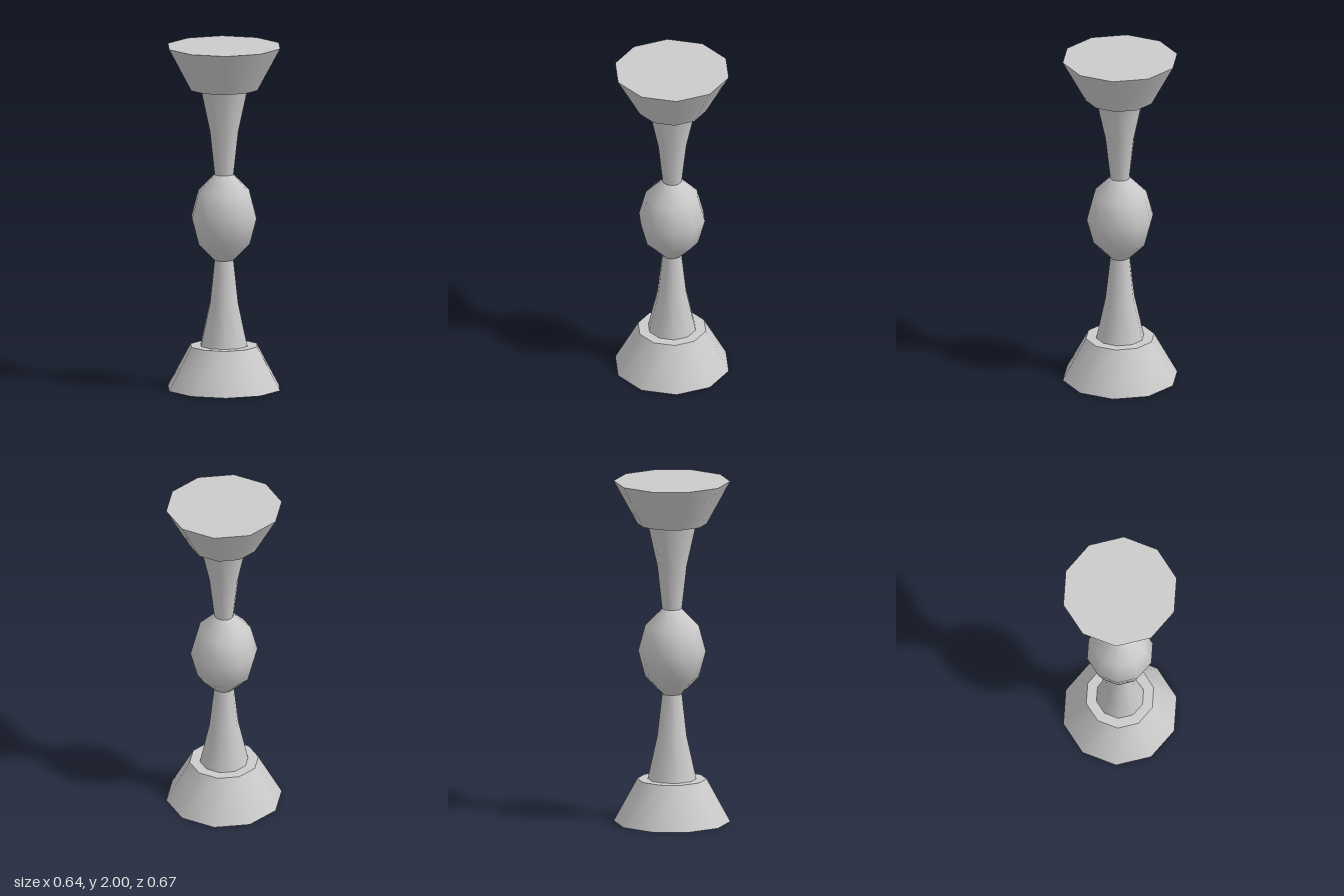
import * as THREE from 'three';

const SIDES = 10;
const HEIGHT = 2;

export function createModel() {
  const model = new THREE.Group();
  model.name = 'turnedPedestal';
  const material = new THREE.MeshStandardMaterial({ color: 0xcccccc });

  function add(name, geometry, y = 0) {
    const mesh = new THREE.Mesh(geometry, material);
    mesh.name = name;
    mesh.position.y = y;
    model.add(mesh);
  }

  // Profiles are [radius, height], listed from bottom to top
  const lathe = (profile) =>
    new THREE.LatheGeometry(profile.map(([r, y]) => new THREE.Vector2(r, y)), SIDES);
  const flip = (profile) => profile.map(([r, y]) => [r, HEIGHT - y]).reverse();

  // Flared foot and matching top, closed with flat caps
  add('foot', new THREE.CylinderGeometry(0.2, 0.336, 0.25, SIDES), 0.125);
  add('topCup', new THREE.CylinderGeometry(0.336, 0.2, 0.25, SIDES), HEIGHT - 0.125);

  // Tapering stems above and below the bulb
  const stem = [[0.14, 0.25], [0.085, 0.5], [0.057, 0.75]];
  add('lowerStem', lathe(stem));
  add('upperStem', lathe(flip(stem)));

  // Central bulb
  const halfBulb = [[0.057, 0.75], [0.155, 0.85], [0.195, 1]];
  add('bulb', lathe([...halfBulb, ...flip(halfBulb).slice(1)]));

  return model;
}
